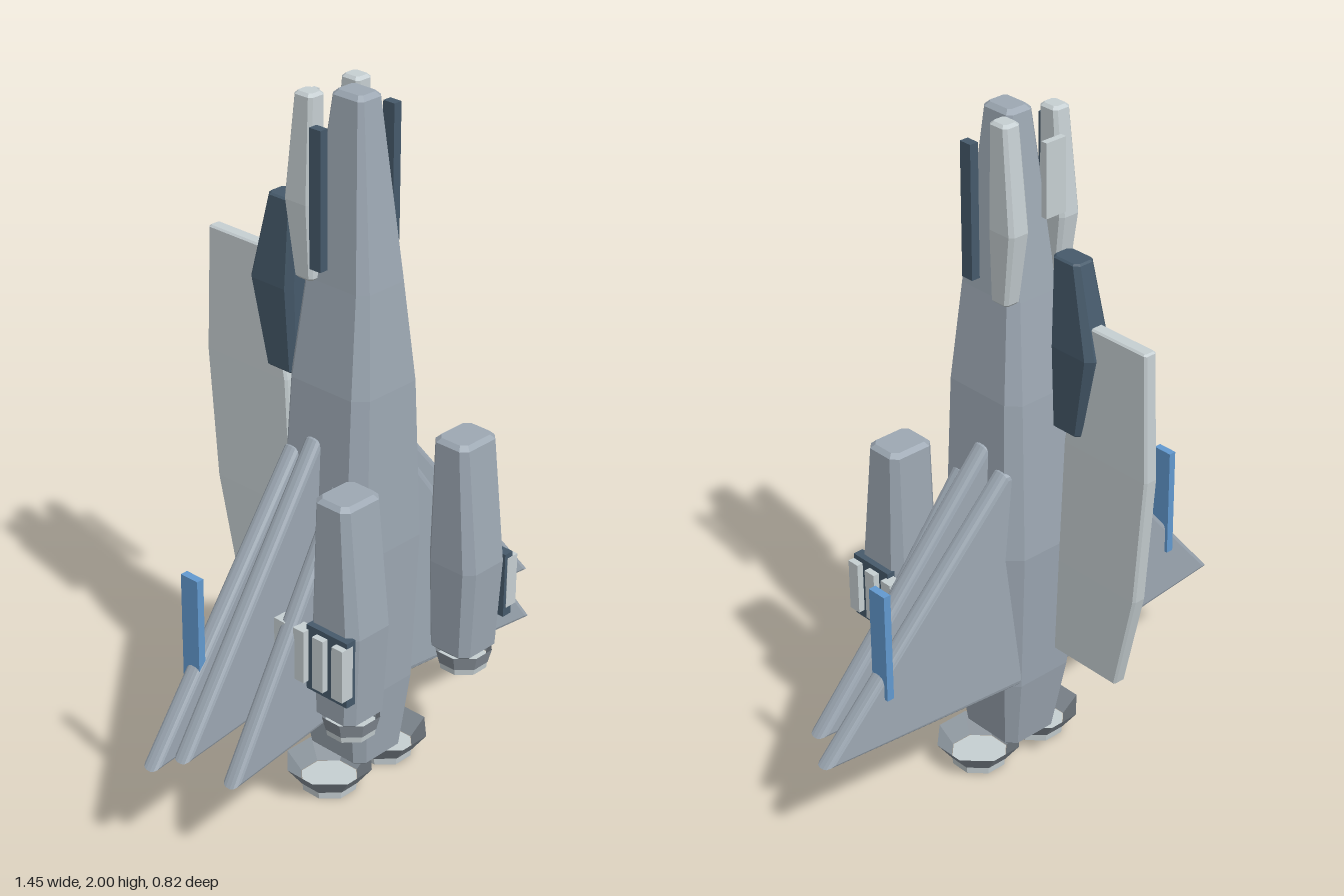
import * as THREE from 'three';

const mat = (name, color) => {
  const m = new THREE.MeshStandardMaterial({ color });
  m.name = name;
  return m;
};

// Chamfered box lofted through sections [y, x0, x1, z0, z1], listed bottom to top
function loft(sections, chamfer = 0.15, endBevel = 0.012) {
  const inset = (s, dy) => [s[0] + dy, s[1], s[2], s[3], s[4]];
  const shrink = (s) => [s[0], s[1] + endBevel, s[2] - endBevel, s[3] + endBevel, s[4] - endBevel];
  const first = sections[0], last = sections[sections.length - 1];
  const all = [shrink(first), inset(first, endBevel), ...sections.slice(1, -1), inset(last, -endBevel), shrink(last)];
  const rings = all.map(([y, x0, x1, z0, z1]) => {
    const c = chamfer * Math.min(x1 - x0, z1 - z0);
    return [[x0 + c, z1], [x1 - c, z1], [x1, z1 - c], [x1, z0 + c],
      [x1 - c, z0], [x0 + c, z0], [x0, z0 + c], [x0, z1 - c]].map(([x, z]) => [x, y, z]);
  });
  const pos = [];
  const tri = (a, b, c) => pos.push(...a, ...b, ...c);
  for (let i = 0; i < rings.length - 1; i++) {
    for (let j = 0; j < 8; j++) {
      const k = (j + 1) % 8, lo = rings[i], hi = rings[i + 1];
      tri(lo[j], lo[k], hi[k]);
      tri(lo[j], hi[k], hi[j]);
    }
  }
  const bottom = rings[0], top = rings[rings.length - 1];
  for (let j = 1; j < 7; j++) {
    tri(top[0], top[j], top[j + 1]);
    tri(bottom[0], bottom[j + 1], bottom[j]);
  }
  const g = new THREE.BufferGeometry();
  g.setAttribute('position', new THREE.Float32BufferAttribute(pos, 3));
  g.computeVertexNormals();
  return g;
}

// Loft sections mirrored to one side
const sided = (s, sections) => sections.map(([y, a, b, z0, z1]) => [y, Math.min(s * a, s * b), Math.max(s * a, s * b), z0, z1]);

// Delta wing plate with rounded edges, swept in z towards the tip
function wingGeometry(s, { tip, trail, apex, rootZ, tipZ }) {
  const shape = new THREE.Shape([[0.07, trail], [tip, trail], [0.135, apex], [0.07, apex]]
    .map(([x, y]) => new THREE.Vector2(s * x, y)));
  const g = new THREE.ExtrudeGeometry(shape, {
    depth: 0.014, bevelEnabled: true, bevelThickness: 0.02, bevelSize: 0.02, bevelOffset: -0.02, bevelSegments: 3,
  });
  const p = g.attributes.position;
  for (let i = 0; i < p.count; i++) {
    const t = (Math.abs(p.getX(i)) - 0.135) / (tip - 0.135);
    p.setZ(i, p.getZ(i) - 0.007 + rootZ + t * (tipZ - rootZ));
  }
  g.computeVertexNormals();
  return g;
}

export function createModel() {
  const hull = mat('hull grey', 0x9da8b3);
  const light = mat('light panel grey', 0xc6cfd2);
  const dark = mat('dark slate', 0x465a6b);
  const blue = mat('blue', 0x6299cf);
  const nozzleGrey = mat('nozzle grey', 0x868f97);
  nozzleGrey.side = THREE.DoubleSide;

  const model = new THREE.Group();
  model.name = 'spacecraft';
  const add = (name, geometry, material, x = 0, y = 0, z = 0) => {
    const m = new THREE.Mesh(geometry, material);
    m.name = name;
    m.position.set(x, y, z);
    model.add(m);
    return m;
  };
  const box = (name, material, x0, x1, y0, y1, z0, z1) => add(name,
    new THREE.BoxGeometry(Math.abs(x1 - x0), y1 - y0, z1 - z0), material, (x0 + x1) / 2, (y0 + y1) / 2, (z0 + z1) / 2);

  // Flared octagonal nozzle: open cup, light rim and blue glow underneath
  const nozzle = (name, x, y, z, rTop, rBottom, height, rim) => {
    const prism = (a, b, h, open) => {
      const g = new THREE.CylinderGeometry(a, b, h, 8, 1, open).rotateY(Math.PI / 8).toNonIndexed();
      g.computeVertexNormals();
      return g;
    };
    add(name + 'Cup', prism(rTop, rBottom, height - rim, true), nozzleGrey, x, y + rim + (height - rim) / 2, z);
    add(name + 'Rim', prism(rBottom * 0.98, rBottom * 0.95, rim, false), light, x, y + rim / 2, z);
    add(name + 'Glow', new THREE.CylinderGeometry(rBottom * 0.72, rBottom * 0.72, 0.004, 16), blue, x, y, z);
  };

  // Fuselage
  add('fuselage', loft([
    [0.08, -0.09, 0.09, 0.028, 0.235],
    [0.32, -0.12, 0.12, -0.012, 0.257],
    [0.76, -0.142, 0.142, -0.045, 0.266],
    [1.22, -0.12, 0.12, -0.022, 0.255],
    [1.5, -0.088, 0.088, 0.01, 0.23],
    [2.0, -0.042, 0.042, 0.07, 0.175],
  ], 0.14), hull);

  // Dorsal plate, dorsal fin and nose plate along the centre line
  add('dorsalPlate', loft([
    [0.45, -0.02, 0.02, -0.31, -0.07],
    [0.75, -0.022, 0.022, -0.378, -0.086],
    [1.13, -0.022, 0.022, -0.41, -0.107],
    [1.495, -0.02, 0.02, -0.397, -0.185],
  ], 0.15, 0.005), light);
  add('dorsalFin', loft([
    [1.165, -0.034, 0.034, -0.175, -0.07],
    [1.41, -0.046, 0.046, -0.226, -0.07],
    [1.66, -0.034, 0.034, -0.165, -0.07],
  ], 0.2, 0.005), dark);
  box('nosePlate', light, -0.033, 0.033, 1.75, 1.955, -0.055, -0.036);

  const wings = [
    { tip: 0.595, trail: 0.282, apex: 0.96, rootZ: 0.185, tipZ: 0.238 },
    { tip: 0.685, trail: 0.365, apex: 1.075, rootZ: 0.095, tipZ: 0.153 },
    { tip: 0.725, trail: 0.325, apex: 1.025, rootZ: 0.018, tipZ: 0.078 },
  ];

  for (const s of [1, -1]) {
    const side = s > 0 ? 'left' : 'right';

    // Three stacked delta wings and the wing blade
    wings.forEach((w, i) => add(side + 'Wing' + (i + 1), wingGeometry(s, w), hull));
    box(side + 'WingBlade', blue, s * 0.515, s * 0.537, 0.48, 0.81, 0.02, 0.08);

    // Nose pod and dark nose strip
    add(side + 'NosePod', loft(sided(s, [
      [1.5, 0.06, 0.112, 0.01, 0.072],
      [1.71, 0.053, 0.12, -0.02, 0.072],
      [2.0, 0.057, 0.112, 0.01, 0.072],
    ]), 0.16, 0.008), light);
    box(side + 'NoseStrip', dark, s * 0.12, s * 0.146, 1.56, 1.935, 0.1, 0.138);

    // Engine pod with nozzle
    add(side + 'EnginePod', loft(sided(s, [
      [0.38, 0.153, 0.3, 0.25, 0.393],
      [0.66, 0.146, 0.308, 0.243, 0.408],
      [1.03, 0.155, 0.297, 0.252, 0.37],
    ]), 0.16), hull);
    nozzle(side + 'PodNozzle', s * 0.225, 0.325, 0.325, 0.083, 0.072, 0.06, 0.018);

    // Rack with a row of light canisters on the outside of the pod
    box(side + 'Rack', dark, s * 0.295, s * 0.326, 0.475, 0.67, 0.262, 0.405);
    for (const z of [0.182, 0.25, 0.318, 0.387]) {
      box(side + 'Canister', light, s * 0.305, s * 0.345, 0.5, 0.655, z - 0.019, z + 0.019);
    }

    // Main nozzle
    nozzle(side + 'MainNozzle', s * 0.112, 0.002, 0.14, 0.125, 0.083, 0.077, 0.022);
  }
  return model;
}
